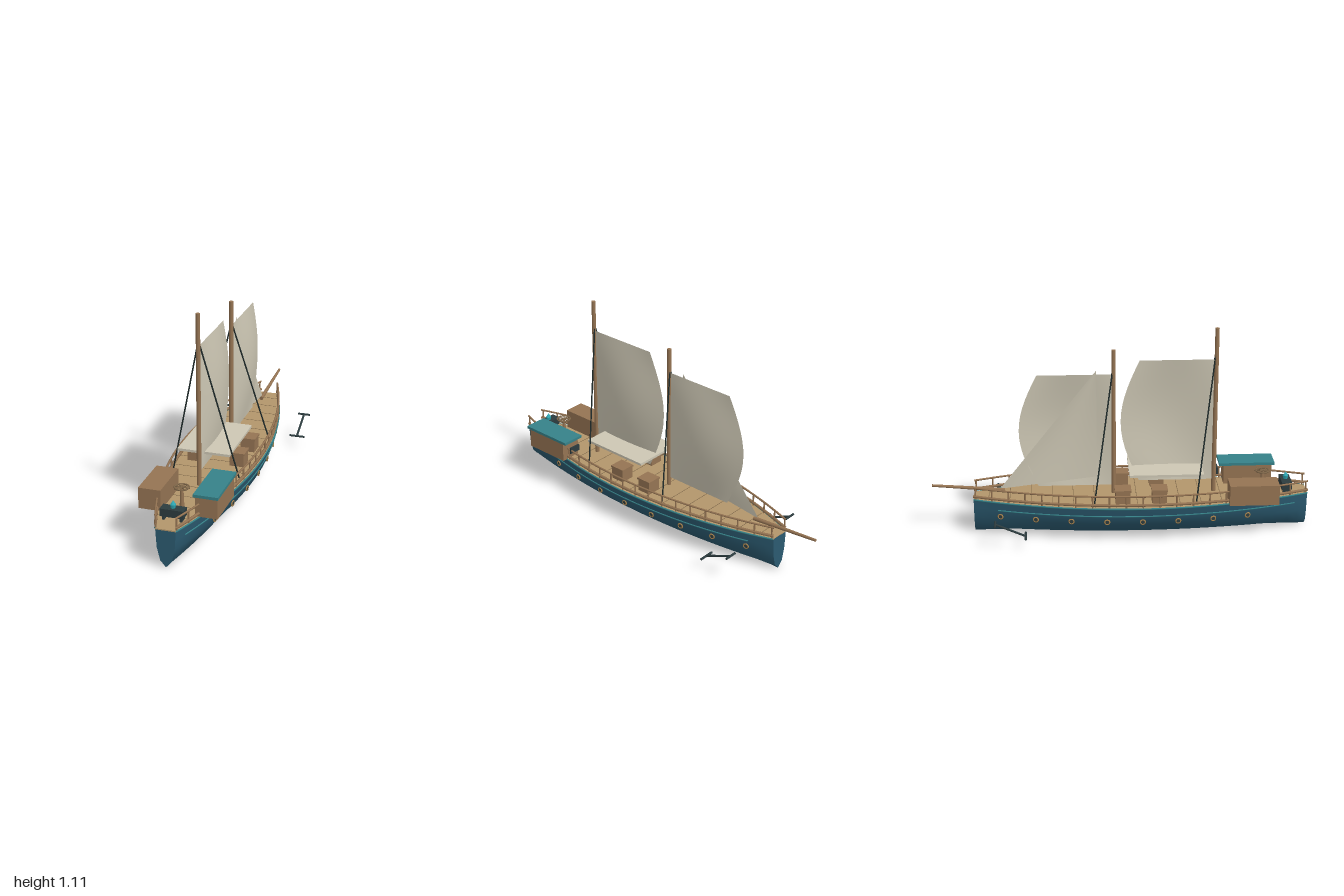
import * as THREE from 'three';

const mat = (name, color, side = THREE.FrontSide) => {
  const m = new THREE.MeshStandardMaterial({ color, side });
  m.name = name;
  return m;
};

export function createModel() {
  const root = new THREE.Group();
  root.name = 'sailingShip';
  const hullBlue = mat('hullBlue', 0x2b5a70);
  const teal = mat('teal', 0x368289);
  const wood = mat('wood', 0x957453);
  const deckTan = mat('deckTan', 0xb3966b);
  const seamBrown = mat('seamBrown', 0x80684a);
  const canvas = mat('canvas', 0xcdc7b4, THREE.DoubleSide);
  const iron = mat('iron', 0x2c3c3f);
  const rope = mat('rope', 0x1f2b2b);
  const brass = mat('brass', 0xa8834e);
  const crystal = mat('crystal', 0x2fa9b5);

  const V = (x, y, z) => new THREE.Vector3(x, y, z);
  const add = (name, geo, m, x = 0, y = 0, z = 0, parent = root) => {
    const mesh = new THREE.Mesh(geo, m);
    mesh.name = name;
    mesh.position.set(x, y, z);
    parent.add(mesh);
    return mesh;
  };
  const box = (name, m, w, h, d, x, y, z) => add(name, new THREE.BoxGeometry(w, h, d), m, x, y, z);
  // Round bar between two points
  const bar = (name, m, a, b, r, r2 = r, sides = 8) => {
    const d = b.clone().sub(a);
    const mesh = add(name, new THREE.CylinderGeometry(r2, r, d.length(), sides), m);
    mesh.position.copy(a).add(b).multiplyScalar(0.5);
    mesh.quaternion.setFromUnitVectors(V(0, 1, 0), d.normalize());
    return mesh;
  };

  // Half width of the hull at deck level
  const Z0 = -0.78, Z1 = 1;
  const halfWidth = z => 0.215 * (1 - ((z - 0.11) / 1.02) ** 2);
  const slope = z => -0.43 * (z - 0.11) / (1.02 * 1.02);

  // Hull: one section scaled along the length, with flat end caps
  const half = [[1, 0.2], [0.95, 0.155], [0.88, 0.103], [0.57, 0.036], [0, 0.002]];
  const section = [...half, ...half.slice(0, -1).reverse().map(([x, y]) => [-x, y])];
  const N = section.length, STEPS = 36;
  const pos = [], idx = [];
  for (let i = 0; i <= STEPS; i++) {
    const z = Z0 + (Z1 - Z0) * i / STEPS;
    for (const [x, y] of section) pos.push(x * halfWidth(z), y, z);
  }
  for (let i = 0; i < STEPS; i++) {
    for (let j = 0; j < N - 1; j++) {
      const a = i * N + j, b = a + 1, c = a + N, d = c + 1;
      idx.push(a, c, b, b, c, d);
    }
  }
  const hullGeo = new THREE.BufferGeometry();
  hullGeo.setAttribute('position', new THREE.Float32BufferAttribute(pos, 3));
  hullGeo.setIndex(idx);
  hullGeo.computeVertexNormals();
  add('hull', hullGeo, hullBlue);
  for (const [name, z, turn] of [['sternTransom', Z1, 0], ['bowTransom', Z0, Math.PI]]) {
    const shape = new THREE.Shape(section.map(([x, y]) => new THREE.Vector2(x * halfWidth(z), y)));
    add(name, new THREE.ShapeGeometry(shape), hullBlue, 0, 0, z).rotation.y = turn;
  }

  // Deck with plank seams
  const outline = [];
  for (let i = 0; i <= STEPS; i++) {
    const z = Z0 + (Z1 - Z0) * i / STEPS;
    outline.push(new THREE.Vector2(halfWidth(z), -z));
  }
  const mirrored = outline.map(p => new THREE.Vector2(-p.x, p.y)).reverse();
  const deckShape = new THREE.Shape([...outline, ...mirrored]);
  const deckGeo = new THREE.ExtrudeGeometry(deckShape, { depth: 0.006, bevelEnabled: false });
  add('deck', deckGeo.rotateX(-Math.PI / 2), deckTan, 0, 0.198, 0);
  for (let z = -0.7; z < 0.98; z += 0.112) {
    box('plankSeam', seamBrown, 2 * halfWidth(z) - 0.02, 0.001, 0.003, 0, 0.2045, z);
  }

  // Bars that follow the hull side
  const follow = (name, m, s, k, y, r, za = Z0, zb = Z1) => {
    const pts = [];
    for (let i = 0; i <= 16; i++) {
      const z = za + (zb - za) * i / 16;
      pts.push(V(s * halfWidth(z) * k, y, z));
    }
    add(name, new THREE.TubeGeometry(new THREE.CatmullRomCurve3(pts), 40, r, 6), m);
  };

  for (const s of [-1, 1]) {
    follow('sheerStripe', teal, s, 1, 0.2, 0.005);
    follow('sideStripe', teal, s, 0.95, 0.153, 0.004, -0.65, 0.93);
    follow('lowerRail', wood, s, 0.965, 0.219, 0.008);
    follow('upperRail', wood, s, 0.965, 0.268, 0.0055);
    for (let i = 0; i <= 20; i++) {
      const z = Z0 + 0.01 + (Z1 - Z0 - 0.02) * i / 20, x = s * halfWidth(z) * 0.965;
      bar('railPost', wood, V(x, 0.2, z), V(x, 0.268, z), 0.0045, 0.0045, 6);
    }

    // Portholes
    for (let i = 0; i < 8; i++) {
      const z = 0.67 - i * 0.187;
      const port = new THREE.Group();
      port.name = 'porthole';
      port.position.set(s * (halfWidth(z) * 0.908 + 0.002), 0.118, z);
      port.rotation.y = Math.atan2(s, -slope(z));
      add('portholeRing', new THREE.TorusGeometry(0.0125, 0.004, 6, 16), brass, 0, 0, 0, port);
      add('portholeGlass', new THREE.CircleGeometry(0.012, 16), iron, 0, 0, 0.002, port);
      root.add(port);
    }

    // Anchors hanging beside the bow
    const ax = s * 0.244;
    bar('anchorShank', iron, V(ax, 0.145, -0.662), V(ax, 0.075, -0.505), 0.006);
    bar('anchorStock', iron, V(ax - 0.034, 0.145, -0.662), V(ax + 0.034, 0.145, -0.662), 0.006);
    bar('anchorArms', iron, V(ax - 0.043, 0.075, -0.505), V(ax + 0.043, 0.075, -0.505), 0.006);

    // Shrouds
    bar('aftShroud', rope, V(0, 0.975, 0.495), V(s * 0.176, 0.22, 0.392), 0.004, 0.004, 6);
    bar('foreShroud', rope, V(0, 0.89, -0.04), V(s * 0.176, 0.22, -0.143), 0.004, 0.004, 6);

    // Deck crates
    for (const z of [0.2, 0.008]) {
      box('crate', wood, 0.076, 0.066, 0.078, s * 0.116, 0.237, z);
      box('crateLid', wood, 0.084, 0.01, 0.086, s * 0.116, 0.275, z);
    }
  }

  // Masts and bowsprit
  bar('aftMast', wood, V(0, 0.2, 0.5), V(0, 1.115, 0.5), 0.012, 0.011, 12);
  bar('foreMast', wood, V(0, 0.2, -0.035), V(0, 1.005, -0.035), 0.012, 0.011, 12);
  bar('bowsprit', wood, V(0, 0.232, -0.615), V(0, 0.266, -1), 0.011, 0.007, 10);

  // Sails: a grid moved by a rule, u away from the mast, v upward
  const sail = (name, rule) => {
    const geo = new THREE.PlaneGeometry(1, 1, 14, 14);
    const p = geo.attributes.position;
    for (let i = 0; i < p.count; i++) p.setXYZ(i, ...rule(p.getX(i) + 0.5, p.getY(i) + 0.5));
    geo.computeVertexNormals();
    add(name, geo, canvas);
  };
  const gaffSail = (z, y0, y1) => (u, v) => {
    const sv = Math.sin(Math.PI * v);
    return [0.032 * Math.sin(Math.PI * u) * sv, y0 + (y1 - y0) * v, z - u * (0.395 + 0.098 * sv)];
  };
  sail('aftSail', gaffSail(0.495, 0.272, 0.945));
  sail('foreSail', gaffSail(-0.04, 0.25, 0.872));
  sail('jib', (u, v) => {
    const w = u * (1 - v);
    return [0.01 * Math.sin(Math.PI * u) * Math.sin(Math.PI * v) - 0.002,
      0.3 + 0.595 * v - 0.06 * w, -0.125 - 0.515 * w];
  });

  // Canopy over the waist
  box('canopy', canvas, 0.276, 0.013, 0.39, 0, 0.352, 0.238);

  // Deck houses
  box('storageHouse', wood, 0.115, 0.11, 0.26, -0.145, 0.257, 0.695);
  box('cabin', wood, 0.115, 0.108, 0.26, 0.145, 0.256, 0.695);
  box('cabinRoof', teal, 0.126, 0.015, 0.3, 0.145, 0.317, 0.69);
  box('cabinVent', iron, 0.066, 0.036, 0.008, 0.145, 0.267, 0.533);

  // Steering wheel lying flat on its pedestal
  bar('wheelPedestal', wood, V(0, 0.2, 0.762), V(0, 0.314, 0.762), 0.012, 0.008, 10);
  add('wheelRim', new THREE.TorusGeometry(0.036, 0.004, 6, 24).rotateX(Math.PI / 2), seamBrown, 0, 0.315, 0.762);
  for (let i = 0; i < 4; i++) {
    const a = i * Math.PI / 4, x = 0.041 * Math.cos(a), z = 0.041 * Math.sin(a);
    bar('wheelSpoke', seamBrown, V(-x, 0.315, 0.762 - z), V(x, 0.315, 0.762 + z), 0.003, 0.003, 6);
  }

  // Stern engine chest with its crystal
  box('engineChest', iron, 0.12, 0.04, 0.054, 0, 0.245, 0.888);
  for (const x of [-0.045, 0.045]) box('chestFoot', iron, 0.012, 0.025, 0.04, x, 0.214, 0.888);
  add('crystalBase', new THREE.CylinderGeometry(0.015, 0.012, 0.018, 6), crystal, 0, 0.274, 0.888);
  add('crystalTip', new THREE.ConeGeometry(0.015, 0.022, 6), crystal, 0, 0.294, 0.888);

  return root;
}
